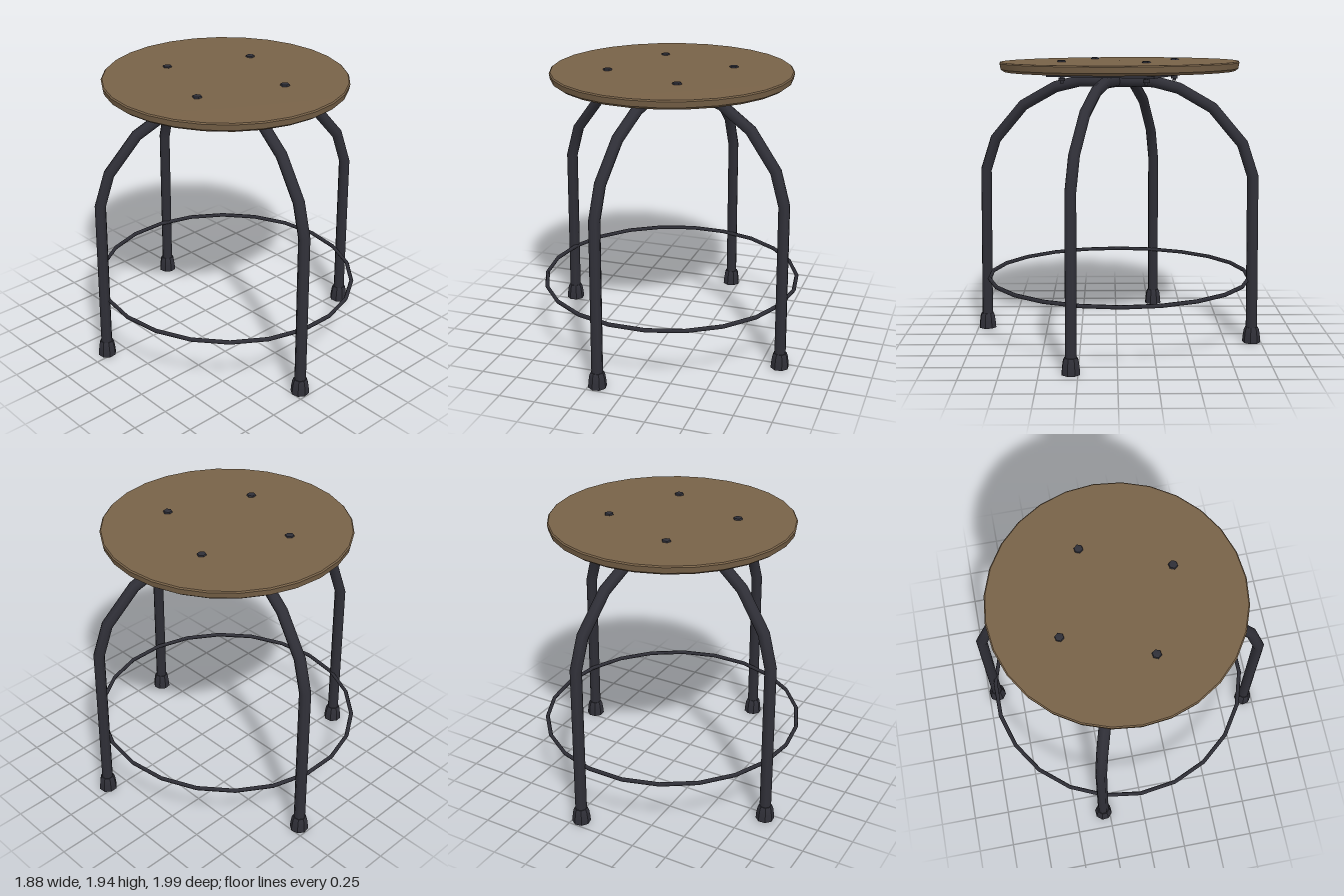
import * as THREE from 'three';
import { toCreasedNormals } from 'three/addons/utils/BufferGeometryUtils.js';

// Straight-segment path with mitred joints, sampled exactly at its points
class Polyline extends THREE.Curve {
  constructor(points) {
    super();
    this.points = points;
  }
  getUtoTmapping(u) {
    return u;
  }
  getPoint(t, target = new THREE.Vector3()) {
    const n = this.points.length - 1;
    const i = Math.min(Math.floor(t * n + 1e-6), n - 1);
    return target.lerpVectors(this.points[i], this.points[i + 1], t * n - i);
  }
  getTangent(t, target = new THREE.Vector3()) {
    const p = this.points, n = p.length - 1, i = Math.round(t * n);
    target.set(0, 0, 0);
    if (i > 0) target.add(p[i].clone().sub(p[i - 1]).normalize());
    if (i < n) target.add(p[i + 1].clone().sub(p[i]).normalize());
    return target.normalize();
  }
}

const lathe = (profile, sides) =>
  toCreasedNormals(new THREE.LatheGeometry(profile.map(([r, y]) => new THREE.Vector2(r, y)), sides), 0.6);

export function createModel() {
  const model = new THREE.Group();
  const wood = new THREE.MeshStandardMaterial({ color: 0x786248 });
  wood.name = 'brown wood';
  const metal = new THREE.MeshStandardMaterial({ color: 0x2f2f37 });
  metal.name = 'dark metal';

  const add = (parent, name, geometry, material, x = 0, y = 0, z = 0) => {
    const mesh = new THREE.Mesh(geometry, material);
    mesh.name = name;
    mesh.position.set(x, y, z);
    parent.add(mesh);
    return mesh;
  };

  // Round seat with a bevelled underside, tilted very slightly
  const seat = add(model, 'seat', lathe(
    [[0, -0.032], [0.79, -0.032], [0.813, -0.015], [0.82, 0.024], [0.812, 0.032], [0, 0.034]], 28),
    wood, 0, 1.898, -0.02);
  seat.rotation.x = 0.004;

  // Two crossing arched tubes, each forming a pair of legs with rubber feet
  const half = [[0.928, 0.06], [0.916, 1.16], [0.845, 1.38], [0.645, 1.62], [0.42, 1.75], [0.25, 1.793]];
  const profile = [...half, [0, 1.793], ...half.map(([r, y]) => [-r, y]).reverse()];
  const foot = lathe([[0, 0], [0.063, 0], [0.06, 0.04], [0.053, 0.088], [0.044, 0.108], [0, 0.108]], 8);
  for (const [x, z, reach] of [[0.88, 0.295, 0.928], [-0.193, 0.935, 0.955]]) {
    const arch = new THREE.Group();
    arch.name = 'legArch';
    arch.rotation.y = -Math.atan2(z, x);
    const path = new Polyline(profile.map(([r, y]) => new THREE.Vector3(r * reach / 0.928, y, 0)));
    add(arch, 'legTube', new THREE.TubeGeometry(path, profile.length - 1, 0.039, 8), metal);
    for (const side of [-1, 1]) add(arch, 'foot', foot, metal, side * reach, 0, 0);
    model.add(arch);
  }

  // Thin foot-rest ring
  const ring = add(model, 'footRing', new THREE.TorusGeometry(0.89, 0.014, 6, 22), metal, 0, 0.435, -0.018);
  ring.rotation.x = Math.PI / 2;
  ring.scale.y = 1.02;

  // Square mounting plate with four through-bolts
  const mount = new THREE.Group();
  mount.name = 'mount';
  mount.position.set(-0.006, 0, -0.02);
  mount.rotation.y = -0.37;
  model.add(mount);
  add(mount, 'mountPlate', new THREE.BoxGeometry(0.76, 0.016, 0.76), metal, 0, 1.842, 0);
  const head = lathe([[0, -0.008], [0.033, -0.008], [0.028, 0.006], [0.014, 0.009], [0, 0.009]], 6);
  const shank = new THREE.CylinderGeometry(0.012, 0.012, 0.135, 6);
  const nut = new THREE.CylinderGeometry(0.024, 0.024, 0.022, 6);
  for (const x of [-0.3, 0.3]) {
    for (const z of [-0.3, 0.3]) {
      add(mount, 'boltHead', head, metal, x, 1.935, z);
      add(mount, 'boltShank', shank, metal, x, 1.855, z);
      add(mount, 'nut', nut, metal, x, 1.814, z);
    }
  }
  return model;
}
